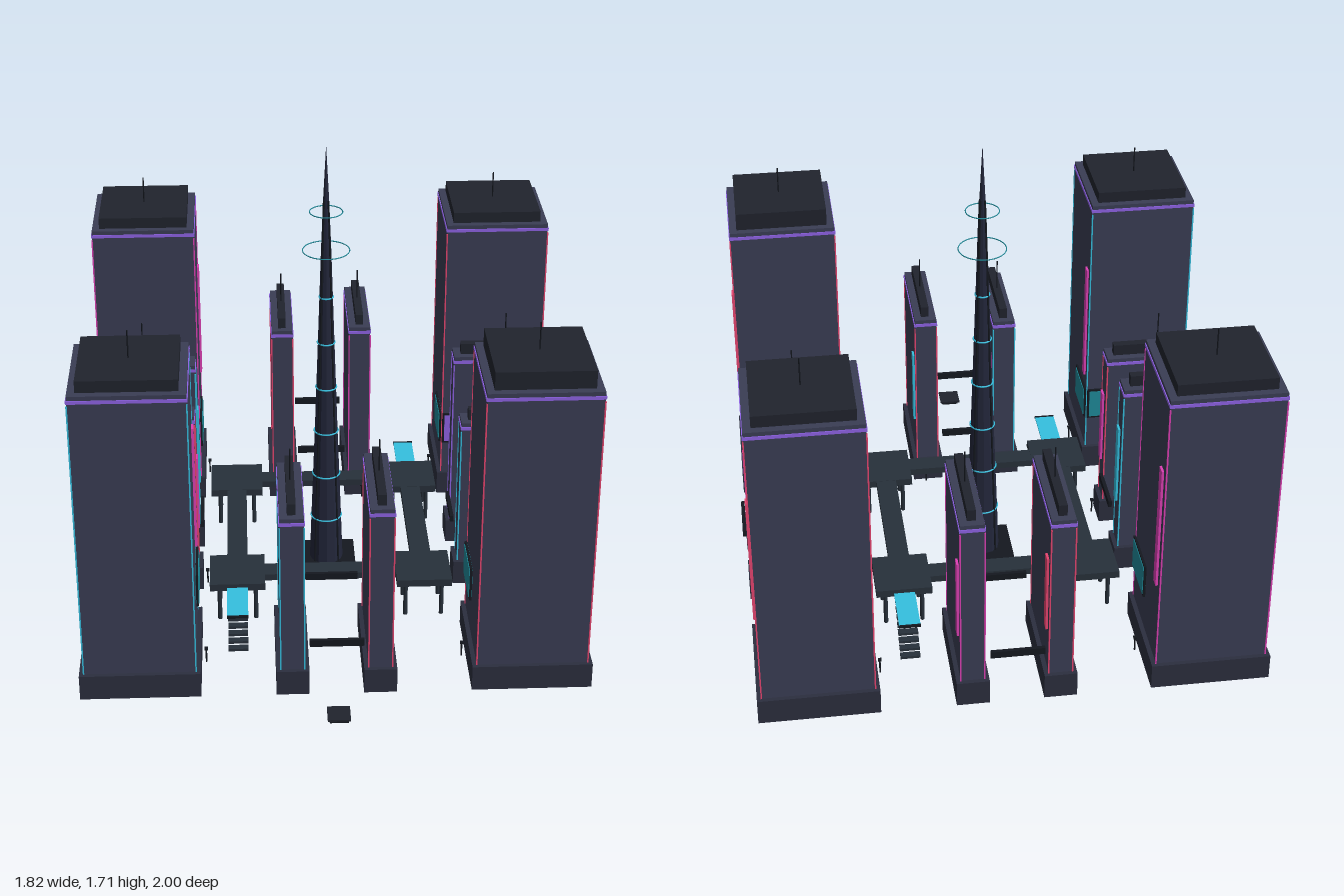
import * as THREE from 'three';

const mat = (color, extra = {}) => new THREE.MeshStandardMaterial({ color, ...extra });
const M = {
  wall: mat(0x3a3d54), base: mat(0x2b2e3e), roof: mat(0x20232d), deck: mat(0x27303a),
  metal: mat(0x14181f), spire: mat(0x22263a, { flatShading: true }),
  cyan: mat(0x35c0e0), teal: mat(0x1f8a99), red: mat(0xe84570), pink: mat(0xdd40b5), purple: mat(0x8f62e6),
};
const CZ = -0.095; // z of the plaza centre

function add(parent, name, geo, material, x, y, z) {
  const m = new THREE.Mesh(geo, material);
  m.name = name;
  m.position.set(x, y, z);
  parent.add(m);
  return m;
}
// Box standing on y0
const box = (p, name, material, w, h, d, x, y0, z) =>
  add(p, name, new THREE.BoxGeometry(w, h, d), material, x, y0 + h / 2, z);
const pole = (p, name, material, r, h, x, y0, z) =>
  add(p, name, new THREE.CylinderGeometry(r, r, h, 8), material, x, y0 + h / 2, z);

function group(parent, name, x = 0, z = 0) {
  const g = new THREE.Group();
  g.name = name;
  g.position.set(x, 0, z);
  parent.add(g);
  return g;
}

// Building with plinth, neon trim, roof unit, mast and a vertical sign on its +x face
function building(parent, name, { x, z, w, d, top, cap, mast, edge, sign, signZ, signY }) {
  const g = group(parent, name, x, z);
  const bw = w - 0.032, bd = d - 0.032;
  box(g, 'plinth', M.base, w, 0.095, d, 0, 0, 0);
  box(g, 'body', M.wall, bw, top - 0.095, bd, 0, 0.095, 0);
  box(g, 'roofTrim', M.purple, bw + 0.006, 0.012, bd + 0.006, 0, top - 0.027, 0);
  box(g, 'roofUnit', M.roof, bw - 0.054, cap, bd - 0.054, 0, top, 0);
  pole(g, 'mast', M.metal, 0.0025, mast, 0, top + cap, 0);
  for (const sx of [-1, 1]) for (const sz of [-1, 1])
    box(g, 'edgeLight', edge, 0.005, top - 0.13, 0.005, sx * bw / 2, 0.095, sz * bd / 2);
  box(g, 'verticalSign', sign, 0.008, signY[1] - signY[0], 0.036, bw / 2 + 0.004, signY[0], signZ);
  return g;
}

// Framed billboard; turned = facing along z
function billboard(parent, material, x, z, turned) {
  const g = group(parent, 'billboard', x, z);
  if (turned) g.rotation.y = Math.PI / 2;
  box(g, 'billboardFrame', M.metal, 0.008, 0.132, 0.19, 0, 0.232, 0);
  box(g, 'billboardScreen', material, 0.013, 0.116, 0.174, 0, 0.24, 0);
}

function lamp(parent, x, z) {
  const g = group(parent, 'streetLamp', x, z);
  pole(g, 'lampPost', M.metal, 0.003, 0.055, 0, 0, 0);
  box(g, 'lampHead', M.metal, 0.012, 0.008, 0.012, 0, 0.052, 0);
}

export function createModel() {
  const root = new THREE.Group();
  root.name = 'cityPlaza';

  // Corner towers: side in x, side in z, roof height, edge light, sign, z billboard
  const corners = [
    [-1, 1, 1.185, M.cyan, M.pink, M.teal], [1, 1, 1.165, M.red, M.red, M.pink],
    [-1, -1, 1.185, M.pink, M.pink, M.pink], [1, -1, 1.185, M.red, M.red, M.purple],
  ];
  for (const [sx, sz, top, edge, sign, screen] of corners) {
    const x = sx * 0.688, z = CZ + sz * 0.69;
    building(root, 'cornerTower', {
      x, z, w: 0.424, d: 0.424, top, cap: top < 1.18 ? 0.065 : 0.042, mast: 0.1,
      edge, sign, signZ: -0.142, signY: [0.41, 0.885],
    });
    billboard(root, M.teal, x - sx * 0.202, z - sz * 0.1, false);
    billboard(root, screen, x - sx * 0.1, z - sz * 0.202, true);
    lamp(root, sx * 0.46, z);
    lamp(root, x, CZ + sz * 0.463);
  }

  // Slab blocks in pairs: x side, z side (0 = middle), offset across, roof height, colours
  const slabs = [
    [0, 1, -1, 0.705, M.cyan, M.pink], [0, 1, 1, 0.735, M.red, M.cyan],
    [0, -1, -1, 0.745, M.red, M.red], [0, -1, 1, 0.755, M.pink, M.pink],
    [1, 0, 1, 0.685, M.cyan, M.red], [1, 0, -1, 0.805, M.purple, M.pink],
    [-1, 0, 1, 0.735, M.red, M.pink], [-1, 0, -1, 0.79, M.cyan, M.cyan],
  ];
  for (const [sx, sz, o, top, edge, sign] of slabs) {
    const alongZ = sx === 0;
    building(root, 'slabBlock', {
      x: alongZ ? o * 0.154 : sx * 0.688, z: CZ + (alongZ ? sz * 0.69 : o * 0.154),
      w: alongZ ? 0.116 : 0.424, d: alongZ ? 0.424 : 0.116, top, cap: 0.042, mast: 0.12,
      edge, sign, signZ: alongZ ? -0.142 : 0.015, signY: [top * 0.35, top * 0.755],
    });
  }

  // Footbridge beams joining each pair, at both ends
  for (const s of [-1, 1]) for (const r of [0.478, 0.905]) {
    box(root, 'linkBeam', M.metal, 0.19, 0.026, 0.013, 0, 0.204, CZ + s * r);
    box(root, 'linkBeam', M.metal, 0.013, 0.026, 0.19, s * r, 0.204, CZ);
  }
  lamp(root, 0.165, -0.555);
  lamp(root, 0.165, 0.37);
  for (const s of [-1, 1]) lamp(root, s * 0.46, 0.07);

  // Raised square walkway on posts
  const walk = group(root, 'walkway', 0, CZ);
  for (const s of [-1, 1]) {
    box(walk, 'walkwayDeck', M.deck, 0.5, 0.026, 0.076, 0, 0.142, s * 0.345);
    box(walk, 'walkwayDeck', M.deck, 0.076, 0.026, 0.5, s * 0.345, 0.142, 0);
    for (const t of [-1, 1]) {
      box(walk, 'cornerDeck', M.deck, 0.204, 0.028, 0.204, s * 0.345, 0.141, t * 0.345);
      for (const a of [-1, 1]) for (const b of [-1, 1])
        pole(walk, 'walkwayPost', M.deck, 0.008, 0.142, s * 0.345 + a * 0.067, 0, t * 0.345 + b * 0.067);
    }
  }

  // Stairs under glowing canopies, at two opposite corners
  for (const s of [-1, 1]) {
    const g = group(walk, 'stairs', s * 0.345, -s * 0.447);
    for (let i = 0; i < 8; i++)
      box(g, 'step', M.deck, 0.072, 0.01, 0.026, 0, 0.122 - i * 0.017, -s * (0.014 + i * 0.023));
    box(g, 'canopy', M.cyan, 0.076, 0.006, 0.186, 0, 0.148, -s * 0.093);
    box(g, 'canopyEdge', M.metal, 0.078, 0.01, 0.007, 0, 0.146, -s * 0.188);
  }

  // Central spire
  const spire = group(root, 'spire', 0, CZ);
  box(spire, 'spirePad', M.metal, 0.222, 0.01, 0.222, 0, 0, 0);
  const profile = [[0.064, 0], [0.057, 0.2], [0.043, 0.57], [0.031, 0.93], [0.019, 1.3], [0.011, 1.5], [0, 1.71]];
  add(spire, 'spireShaft', new THREE.LatheGeometry(profile.map(([r, y]) => new THREE.Vector2(r, y)), 12),
    M.spire, 0, 0, 0);
  const ring = (name, material, r, t, y) => {
    add(spire, name, new THREE.TorusGeometry(r, t, 6, 32), material, 0, y, 0).rotation.x = Math.PI / 2;
  };
  for (let i = 0; i < 6; i++) ring('lightRing', M.cyan, 0.058 - i * 0.0064, 0.003, 0.195 + i * 0.185);
  ring('haloRing', M.teal, 0.086, 0.002, 1.305);
  ring('haloRing', M.teal, 0.06, 0.002, 1.455);
  // Slender ribs leaning in along the shaft
  for (let i = 0; i < 4; i++) {
    const a = Math.PI / 4 + i * Math.PI / 2;
    const path = new THREE.CatmullRomCurve3(profile.slice(0, 6).map(([r, y]) =>
      new THREE.Vector3(Math.cos(a) * r, y, Math.sin(a) * r)));
    add(spire, 'spireRib', new THREE.TubeGeometry(path, 16, 0.004, 6), M.metal, 0, 0, 0);
  }

  // Low landing pad in front
  const pad = group(root, 'landingPad', 0, 0.951);
  box(pad, 'padBase', M.metal, 0.066, 0.012, 0.066, 0, 0.002, 0);
  box(pad, 'padTop', M.roof, 0.08, 0.007, 0.08, 0, 0.013, 0);

  return root;
}
